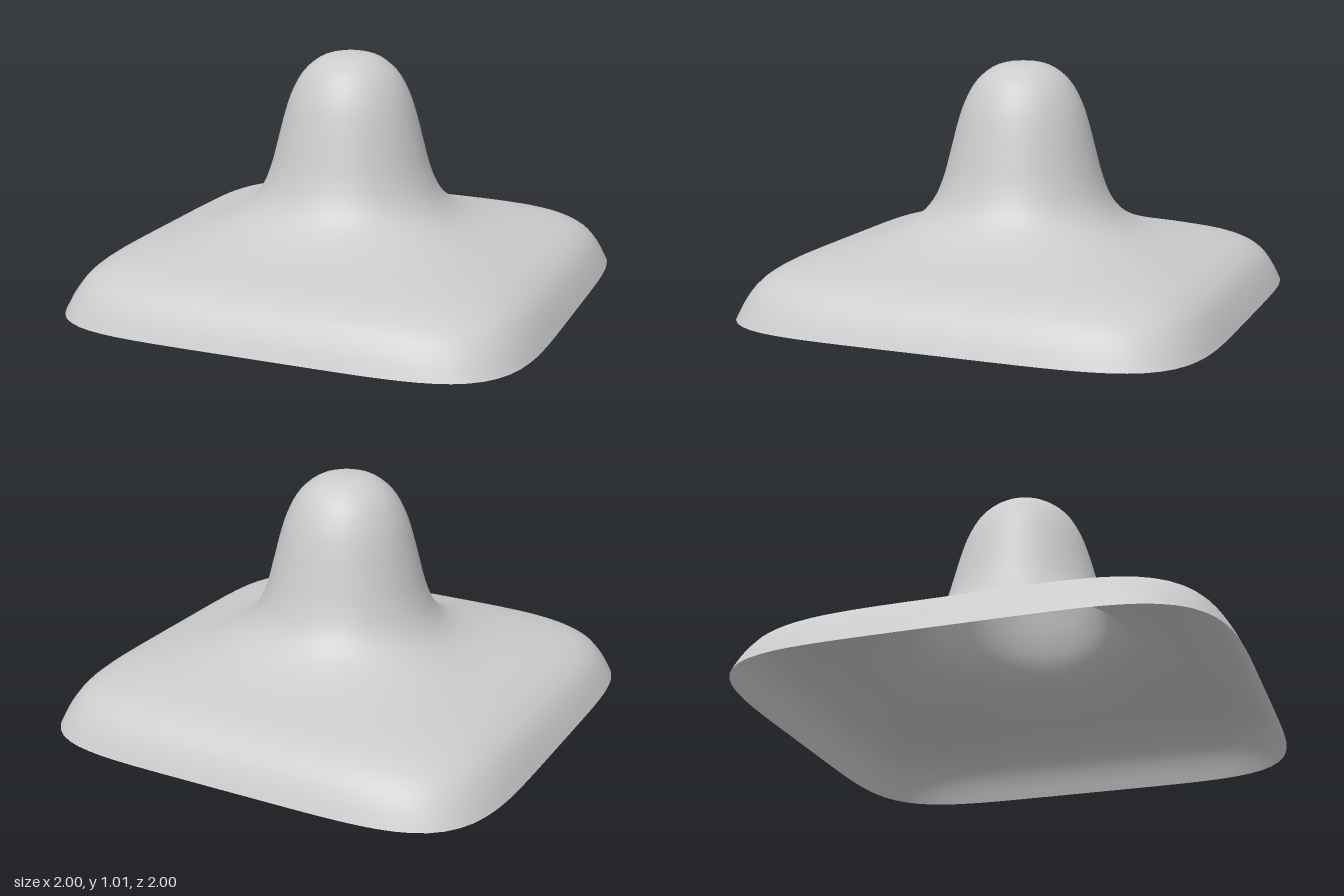
import * as THREE from 'three';
import { mergeVertices } from 'three/addons/utils/BufferGeometryUtils.js';

// Half profile from the rim up to the crown: [radius, height]
const PROFILE = [
  [1, 0], [0.965, 0.075], [0.92, 0.14], [0.85, 0.19], [0.75, 0.225], [0.6, 0.268],
  [0.5, 0.31], [0.43, 0.36], [0.38, 0.425], [0.34, 0.52], [0.31, 0.63], [0.28, 0.745],
  [0.25, 0.835], [0.2, 0.925], [0.13, 0.985], [0.07, 1.006], [0, 1.012],
];

export function createModel() {
  const group = new THREE.Group();
  group.name = 'domedShell';

  const curve = new THREE.CatmullRomCurve3(PROFILE.map(([r, y]) => new THREE.Vector3(r, y, 0)));
  const points = curve.getSpacedPoints(56).map(p => new THREE.Vector2(Math.max(p.x, 0), p.y));
  points[points.length - 1].x = 0;

  // Round at the dome, changing to a rounded square towards the rim
  let geometry = new THREE.LatheGeometry(points, 128);
  const pos = geometry.attributes.position;
  for (let i = 0; i < pos.count; i++) {
    const x = pos.getX(i), z = pos.getZ(i), r = Math.hypot(x, z);
    if (r < 1e-5) continue;
    const n = 2 + 3.4 * THREE.MathUtils.smoothstep(r, 0.35, 0.95);
    const k = Math.pow(Math.abs(x / r) ** n + Math.abs(z / r) ** n, -1 / n);
    pos.setXYZ(i, x * k, pos.getY(i), z * k);
  }

  // Weld the seam and the crown so the shading is smooth all round
  geometry.deleteAttribute('normal');
  geometry.deleteAttribute('uv');
  geometry = mergeVertices(geometry, 1e-4);
  geometry.computeVertexNormals();

  // Thin sheet, open underneath
  const shell = new THREE.Mesh(
    geometry,
    new THREE.MeshStandardMaterial({ color: 0xcccccc, side: THREE.DoubleSide }),
  );
  shell.name = 'shell';
  group.add(shell);
  return group;
}
